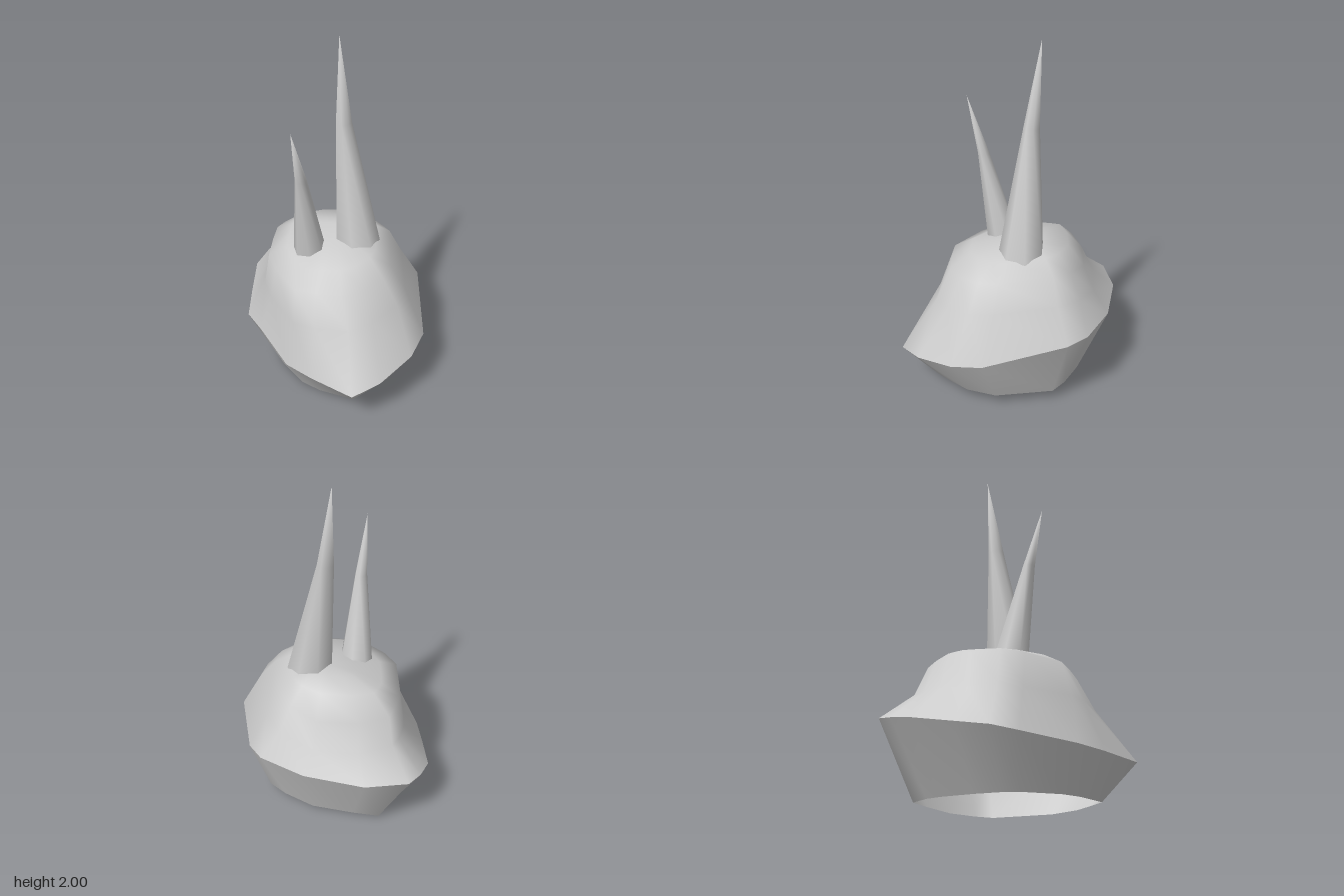
import * as THREE from 'three';

const material = new THREE.MeshStandardMaterial({ color: 0xcccccc, side: THREE.DoubleSide });

// Skin equal-length rings of [x, y, z], bottom to top, closing on an optional apex
function loft(name, rings, apex) {
  const n = rings[0].length;
  const positions = rings.flat(2);
  const index = [];
  for (let r = 0; r < rings.length - 1; r++) {
    for (let i = 0; i < n; i++) {
      const a = r * n + i, b = r * n + (i + 1) % n;
      index.push(a, a + n, b + n, a, b + n, b);
    }
  }
  if (apex) {
    const last = (rings.length - 1) * n;
    positions.push(...apex);
    for (let i = 0; i < n; i++) index.push(last + i, rings.length * n, last + (i + 1) % n);
  }
  const geometry = new THREE.BufferGeometry();
  geometry.setAttribute('position', new THREE.Float32BufferAttribute(positions, 3));
  geometry.setIndex(index);
  geometry.computeVertexNormals();
  const mesh = new THREE.Mesh(geometry, material);
  mesh.name = name;
  return mesh;
}

// Tilted open base of the body
const base = [
  [-0.27, -0.43], [-0.12, -0.42], [0.11, -0.39], [0.27, -0.31],
  [0.36, -0.24], [0.41, 0.08], [0.35, 0.24], [0.26, 0.34],
  [0.18, 0.42], [-0.02, 0.36], [-0.13, 0.3], [-0.28, 0.14],
  [-0.32, 0.05], [-0.34, -0.08], [-0.345, -0.25], [-0.33, -0.33],
].map(([x, z]) => [x, 0.036 + 0.09 * x, z]);

// Widest, sharp rim, low at the front and high at the back
const rim = [
  [-0.42, 0.42, -0.57], [-0.18, 0.43, -0.61], [0.15, 0.45, -0.55], [0.39, 0.455, -0.42],
  [0.46, 0.44, -0.31], [0.54, 0.36, 0.15], [0.49, 0.33, 0.32], [0.34, 0.28, 0.51],
  [0.2, 0.25, 0.61], [-0.04, 0.25, 0.5], [-0.2, 0.25, 0.41], [-0.4, 0.28, 0.17],
  [-0.5, 0.29, 0.06], [-0.52, 0.32, -0.12], [-0.54, 0.36, -0.35], [-0.49, 0.39, -0.47],
];

// Dome flanks
const flank = [
  [-0.33, 0.56, -0.42], [-0.15, 0.56, -0.48], [0.1, 0.57, -0.47], [0.28, 0.62, -0.38],
  [0.36, 0.63, -0.26], [0.42, 0.62, 0.09], [0.39, 0.6, 0.22], [0.27, 0.56, 0.34],
  [0.15, 0.54, 0.41], [-0.04, 0.53, 0.4], [-0.16, 0.52, 0.37], [-0.33, 0.53, 0.17],
  [-0.39, 0.54, 0.06], [-0.4, 0.54, -0.1], [-0.4, 0.55, -0.25], [-0.37, 0.55, -0.35],
];
const shoulder = [
  [-0.31, 0.71, -0.36], [-0.15, 0.71, -0.41], [0.08, 0.72, -0.41], [0.22, 0.76, -0.33],
  [0.29, 0.78, -0.23], [0.33, 0.75, 0.06], [0.3, 0.74, 0.17], [0.21, 0.72, 0.27],
  [0.1, 0.71, 0.33], [-0.04, 0.71, 0.33], [-0.16, 0.71, 0.32], [-0.3, 0.73, 0.17],
  [-0.36, 0.74, 0.06], [-0.37, 0.74, -0.1], [-0.37, 0.74, -0.22], [-0.34, 0.73, -0.3],
];

// Gently sloping crown rings shrunk from the shoulder
const crown = (scale, height) => shoulder.map(([x, , z]) => {
  const px = x * scale, pz = -0.08 + (z + 0.08) * scale;
  return [px, height + 0.08 * px - 0.08 * pz, pz];
});

// Tapering seven-sided horn; sections are [x, y, z, radius], phase turns the sides
function horn(name, phase, sections, tip) {
  const rings = sections.map(([x, y, z, radius]) =>
    Array.from({ length: 7 }, (_, i) => {
      const t = phase + i / 7 * Math.PI * 2;
      return [x + radius * Math.cos(t), y, z + radius * Math.sin(t)];
    }));
  return loft(name, rings, tip);
}

export function createModel() {
  const group = new THREE.Group();
  group.name = 'hornedShell';
  group.add(
    loft('lowerSkirt', [base, rim]),
    loft('dome', [rim, flank, shoulder, crown(0.73, 0.81), crown(0.35, 0.845)], [0.01, 0.875, -0.12]),
    horn('tallHorn', -0.14, [[0.125, 0.82, -0.062, 0.127], [0.035, 1.53, -0.113, 0.045]], [0.003, 2, -0.16]),
    horn('shortHorn', -0.42, [[-0.128, 0.78, 0.035, 0.093], [-0.15, 1.3, 0.145, 0.033]], [-0.18, 1.625, 0.235]),
  );
  return group;
}
